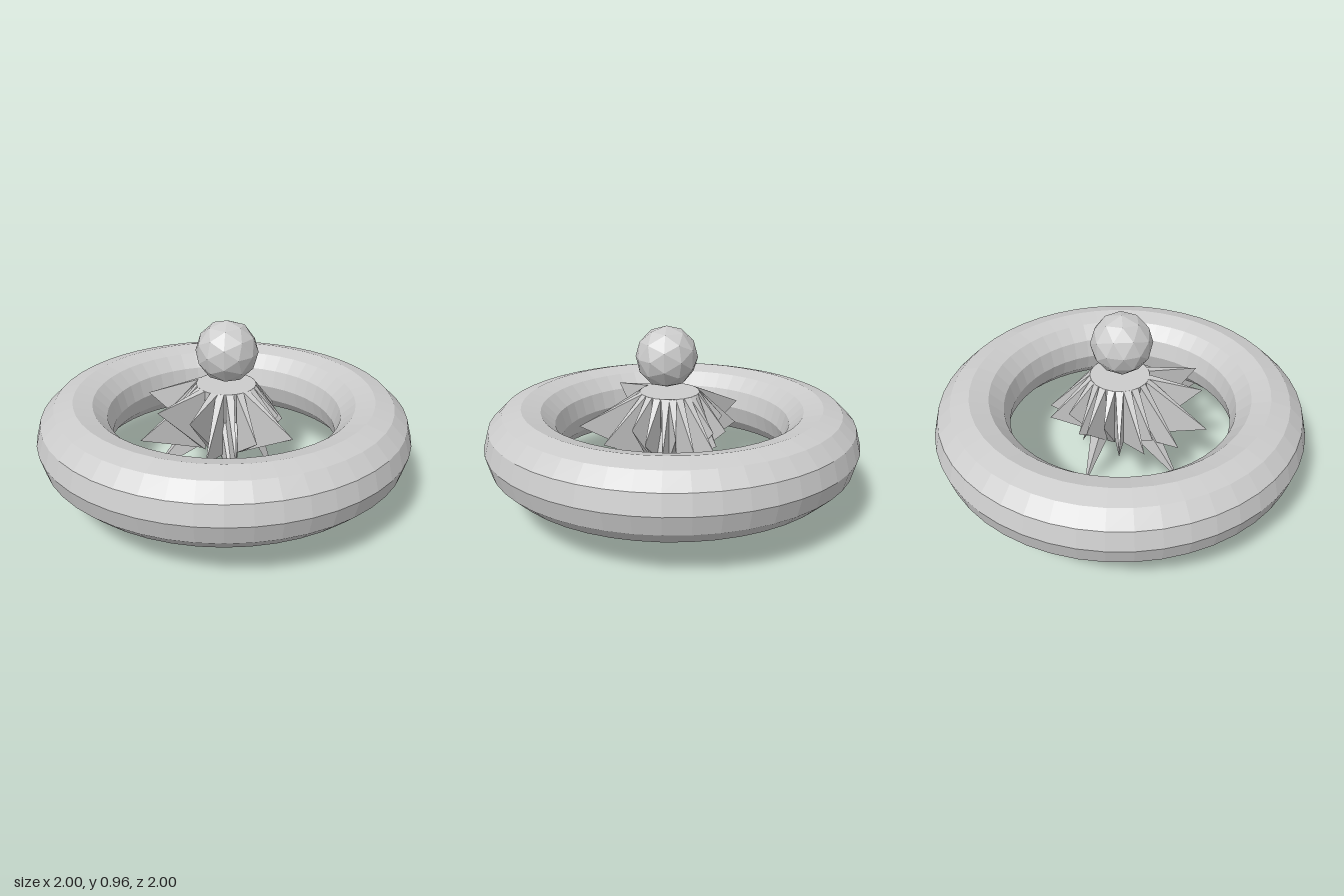
import * as THREE from 'three';
import { ConvexGeometry } from 'three/addons/geometries/ConvexGeometry.js';

const material = new THREE.MeshStandardMaterial({ color: 0xcccccc, flatShading: true });
const CX = 0.015, CORE = 0.16, TOP = 0.61, BOTTOM = 0.27;

function add(parent, name, geometry, x = 0, y = 0, z = 0) {
  const mesh = new THREE.Mesh(geometry, material);
  mesh.name = name;
  mesh.position.set(x, y, z);
  parent.add(mesh);
  return mesh;
}

// A thin upright wedge from the core wall out to a single point
function blade(x, y, z, low = BOTTOM, high = TOP, half = 0.13) {
  const angle = Math.atan2(z, x);
  const points = [new THREE.Vector3(x, y, z)];
  for (const h of [low, high]) for (const s of [-1, 1]) {
    const a = angle + s * half;
    points.push(new THREE.Vector3(CORE * Math.cos(a), h, CORE * Math.sin(a)));
  }
  return new ConvexGeometry(points);
}

export function createModel() {
  const model = new THREE.Group();
  model.name = 'spikedRing';

  // Large lying ring
  const ring = add(model, 'ring', new THREE.TorusGeometry(0.8, 0.2, 12, 48), 0, 0.36, 0);
  ring.rotation.x = -Math.PI / 2;
  ring.scale.z = 0.98;

  // Faceted ball floating above the core
  add(model, 'ball', new THREE.IcosahedronGeometry(0.165, 1), 0.027, 0.798, 0.01);

  // Spiky core inside the ring
  const burst = new THREE.Group();
  burst.name = 'spikyCore';
  burst.position.x = CX;
  model.add(burst);
  add(burst, 'core', new THREE.CylinderGeometry(CORE, CORE * 0.8, TOP - BOTTOM, 20), 0, (TOP + BOTTOM) / 2, 0);

  // Mirrored pairs of blade tips
  const tips = [
    [0.055, 0.38, -0.38], [0.11, 0.44, -0.28], [0.16, 0.34, -0.23], [0.24, 0.4, -0.19],
    [0.27, 0.46, -0.1], [0.4, 0.38, -0.03], [0.485, 0.46, 0.09], [0.31, 0.4, 0.15],
    [0.285, 0.32, 0.29], [0.215, 0.38, 0.45], [0.105, 0.56, 0.43],
  ];
  // Longer points that hang below the ring
  const hanging = [[0.195, 0, -0.21], [0.285, 0.1, 0.3]];
  for (const side of [1, -1]) {
    for (const [x, y, z] of tips) add(burst, 'blade', blade(side * x, y, z));
    for (const [x, y, z] of hanging) {
      add(burst, 'hangingSpike', blade(side * x, y, z, BOTTOM, 0.45, 0.28));
    }
  }
  return model;
}
